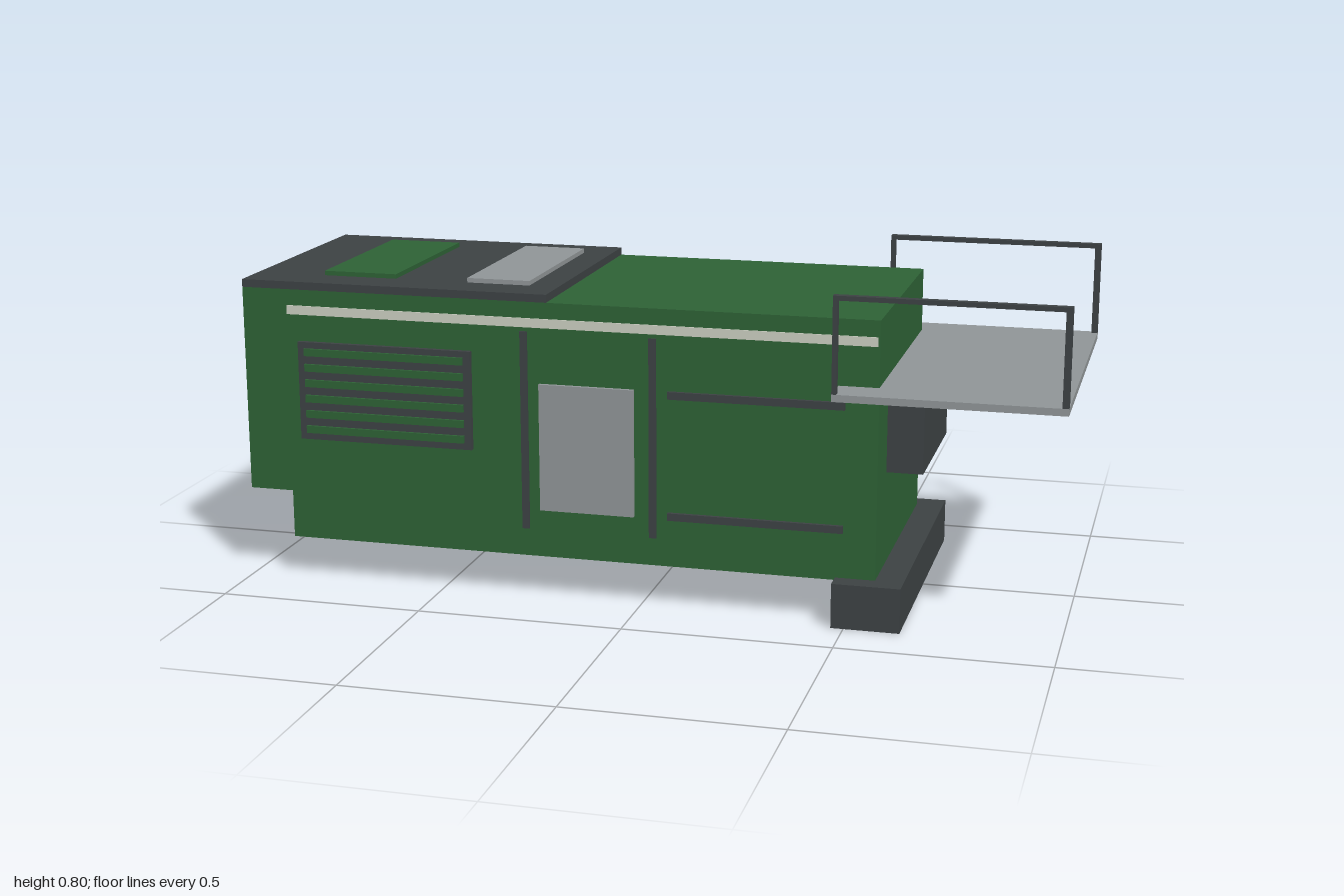
import * as THREE from 'three';

const mat = (name, color) => {
  const m = new THREE.MeshStandardMaterial({ color });
  m.name = name;
  return m;
};

export function createModel() {
  const green = mat('green paint', 0x2d6135);
  const dark = mat('dark grey', 0x3c4143);
  const grey = mat('light grey', 0x8f9496);
  const pale = mat('pale stripe', 0xc9cdc0);
  const model = new THREE.Group();
  model.name = 'locomotiveCarBody';

  // Box given by its minimum and maximum on each axis
  const box = (name, material, [x0, x1], [y0, y1], [z0, z1]) => {
    const mesh = new THREE.Mesh(new THREE.BoxGeometry(x1 - x0, y1 - y0, z1 - z0), material);
    mesh.position.set((x0 + x1) / 2, (y0 + y1) / 2, (z0 + z1) / 2);
    mesh.name = name;
    model.add(mesh);
  };
  // The same box on both sides
  const pair = (name, material, x, y, [z0, z1]) => {
    box(name + 'Left', material, x, y, [z0, z1]);
    box(name + 'Right', material, x, y, [-z1, -z0]);
  };

  // Body with a stepped lower corner
  const W = 0.323;
  const profile = new THREE.Shape([
    [-0.89, 0.102], [0.565, 0.102], [0.565, 0.726], [-1, 0.726], [-1, 0.22], [-0.89, 0.22],
  ].map(([x, y]) => new THREE.Vector2(x, y)));
  const bodyGeometry = new THREE.ExtrudeGeometry(profile, { depth: 2 * W, bevelEnabled: false });
  bodyGeometry.translate(0, 0, -W);
  const body = new THREE.Mesh(bodyGeometry, green);
  body.name = 'body';
  model.add(body);

  // Roof cover and hatches
  box('roofCover', dark, [-1, -0.228], [0.726, 0.745], [-W, W]);
  box('greenHatch', green, [-0.825, -0.64], [0.745, 0.756], [-0.226, 0.226]);
  box('greyHatch', grey, [-0.457, -0.3], [0.745, 0.756], [-0.226, 0.226]);

  // Side fittings
  pair('stripe', pale, [-0.885, 0.56], [0.665, 0.687], [W, W + 0.003]);
  pair('door', grey, [-0.247, -0.015], [0.22, 0.53], [W, 0.333]);
  for (const x of [-0.285, 0.03]) pair('doorPost', dark, [x - 0.009, x + 0.009], [0.17, 0.655], [W, W + 0.004]);
  for (const y of [0.227, 0.522]) pair('sideRail', dark, [0.067, 0.487], [y - 0.009, y + 0.009], [W, 0.332]);

  // Louvred vents
  pair('ventPanel', dark, [-0.856, -0.416], [0.358, 0.6], [W, 0.335]);
  for (let i = 0; i < 6; i++) {
    const y = 0.384 + i * 0.0384;
    pair('ventSlat', green, [-0.838, -0.434], [y - 0.009, y + 0.009], [0.335, 0.342]);
  }

  // End platform with railings
  box('platform', grey, [0.47, 1], [0.552, 0.569], [-0.411, 0.411]);
  const railZ = [0.393, 0.411];
  pair('railingInnerPost', dark, [0.47, 0.481], [0.569, 0.785], railZ);
  pair('railingOuterPost', dark, [0.985, 1], [0.569, 0.785], railZ);
  pair('railingTop', dark, [0.47, 1], [0.785, 0.796], railZ);

  // Support box and base beam
  box('supportBox', dark, [0.565, 0.652], [0.335, 0.552], [-0.195, 0.195]);
  box('baseBeam', dark, [0.47, 0.632], [0, 0.108], [-0.371, 0.371]);
  return model;
}
